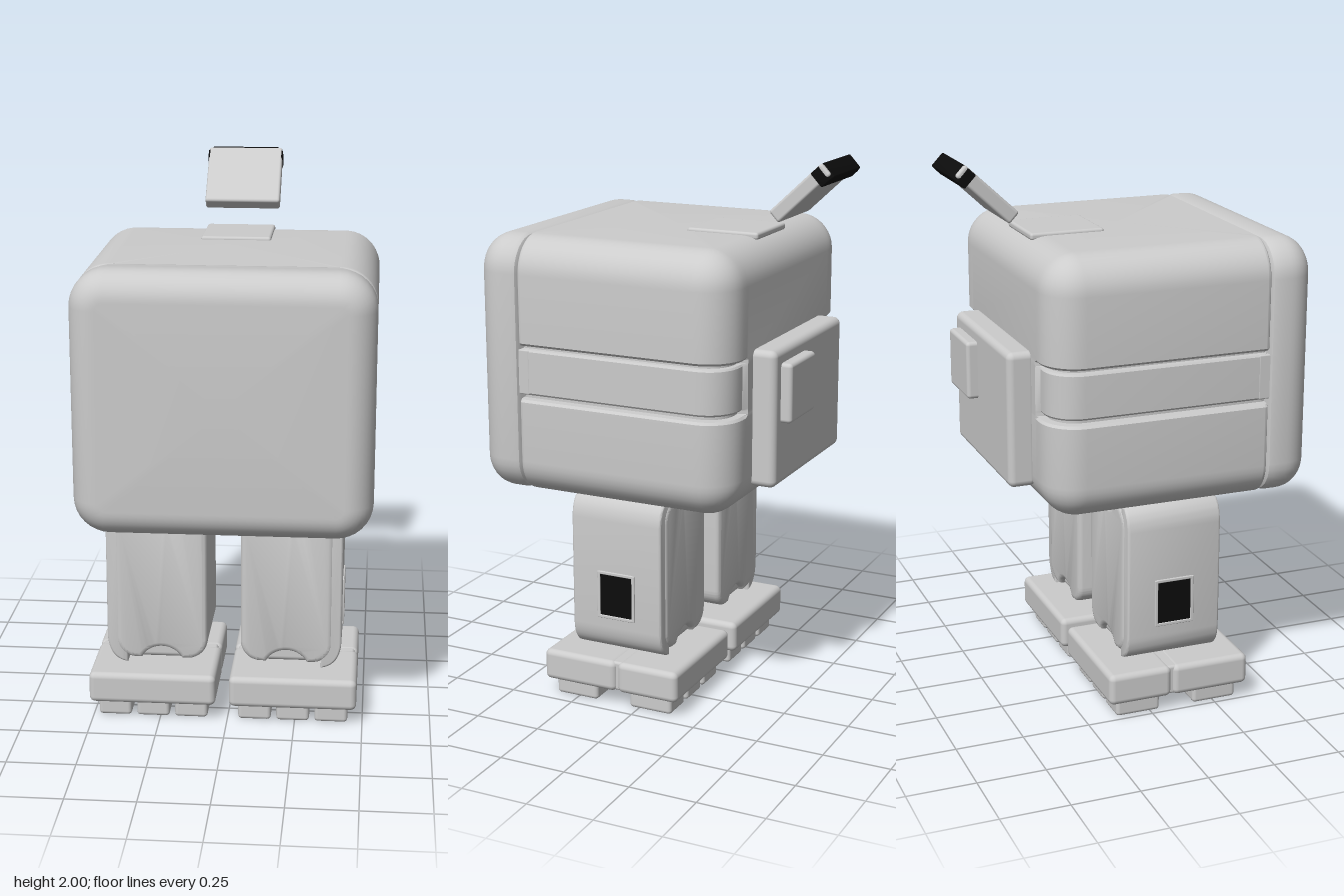
import * as THREE from 'three';
import { toCreasedNormals } from 'three/addons/utils/BufferGeometryUtils.js';
import { RoundedBoxGeometry } from 'three/addons/geometries/RoundedBoxGeometry.js';

const grey = new THREE.MeshStandardMaterial({ color: 0xcccccc });
const black = new THREE.MeshStandardMaterial({ color: 0x0c0c0c });

function add(parent, name, geometry, material = grey) {
  const mesh = new THREE.Mesh(geometry, material);
  mesh.name = name;
  parent.add(mesh);
  return mesh;
}

// Rounded box given by its minimum and maximum on each axis
function box(parent, name, [x0, x1], [y0, y1], [z0, z1], r, material) {
  const mesh = add(parent, name, new RoundedBoxGeometry(x1 - x0, y1 - y0, z1 - z0, 3, r), material);
  mesh.position.set((x0 + x1) / 2, (y0 + y1) / 2, (z0 + z1) / 2);
  return mesh;
}

// Corner points of a rounded rectangle, from angle a over a quarter turn
function corner(cx, cy, r, a) {
  return Array.from({ length: 9 }, (_, i) => {
    const t = a + (i / 8) * Math.PI / 2;
    return [cx + r * Math.cos(t), cy + r * Math.sin(t)];
  });
}

// Skin over equal-length counter-clockwise rings stacked along z, capped at both ends
function loft(rings) {
  const n = rings[0].points.length, pos = [], idx = [];
  for (const { z, points } of rings) for (const [x, y] of points) pos.push(x, y, z);
  for (let i = 0; i < rings.length - 1; i++) for (let j = 0; j < n; j++) {
    const a = i * n + j, b = i * n + (j + 1) % n;
    idx.push(a, b, b + n, a, b + n, a + n);
  }
  for (const k of [0, rings.length - 1]) {
    const c = pos.length / 3, p = rings[k].points;
    pos.push(0, p.reduce((s, q) => s + q[1], 0) / n, rings[k].z);
    for (let j = 0; j < n; j++) {
      const a = k * n + j, b = k * n + (j + 1) % n;
      if (k) idx.push(c, a, b); else idx.push(c, b, a);
    }
  }
  const g = new THREE.BufferGeometry();
  g.setAttribute('position', new THREE.Float32BufferAttribute(pos, 3));
  g.setIndex(idx);
  return g;
}

// Quarter-round profile of radius r: pairs of [height above the end, inset]
const round = r => Array.from({ length: 11 }, (_, i) => {
  const t = (i / 10) * Math.PI / 2;
  return [r * (1 - Math.cos(t)), r * (1 - Math.sin(t))];
});

const HW = 0.525, Y0 = 0.79, Y1 = 1.73, R = 0.13;

// Rear body: plan outlines stacked upward, with a recessed band round sides and back corners
function bodyGeometry() {
  const ends = round(R);
  const band = [[1.14, 0], [1.149, 0.008], [1.151, 0.035], [1.163, 0.035], [1.165, 0.02], [1.172, 0.015]];
  const profile = [
    ...ends.map(([h, d]) => [Y0 + h, d, 0]),
    ...band.map(([y, g]) => [y, 0, g]),
    ...band.map(([y, g]) => [2.495 - y, 0, g]).reverse(),
    ...ends.map(([h, d]) => [Y1 - h, d, 0]).reverse(),
  ];
  const front = -0.425, back = 0.39;
  const rings = profile.map(([z, d, groove]) => {
    const inset = d + groove, r = Math.max(R - inset, 0.002), f = 0.015;
    const w = HW - inset, b = back - inset, gx = Math.min(0.37, w - r - 0.004);
    return { z, points: [
      ...corner(w - r, b - r, r, 0),
      [gx, b], [gx - 0.015, back - d], [0.015 - gx, back - d], [-gx, b],
      ...corner(r - w, b - r, r, Math.PI / 2),
      ...corner(f - w, front + f, f, Math.PI),
      ...corner(w - f, front + f, f, 1.5 * Math.PI),
    ] };
  });
  return toCreasedNormals(loft(rings).rotateX(-Math.PI / 2), 0.6);
}

// Front slab: rounded rectangles stacked forward
function slabGeometry() {
  const profile = [[0.428, 0.02], [0.436, 0.006], [0.45, 0],
    ...round(0.1).map(([h, d]) => [0.6 - h, d]).reverse()];
  const rings = profile.map(([z, d]) => {
    const r = R - d, w = HW - R, t = Y1 - R, b = Y0 + R;
    return { z, points: [
      ...corner(w, t, r, 0), ...corner(-w, t, r, Math.PI / 2),
      ...corner(-w, b, r, Math.PI), ...corner(w, b, r, 1.5 * Math.PI),
    ] };
  });
  return toCreasedNormals(loft(rings), 0.6);
}

// Shape extruded from z0 to z1 with softened edges
function extrude(shape, z0, z1, bevel) {
  const g = new THREE.ExtrudeGeometry(shape, {
    depth: z1 - z0 - 2 * bevel, bevelThickness: bevel, bevelSize: bevel, bevelOffset: -bevel,
    bevelSegments: 3, curveSegments: 10,
  });
  return toCreasedNormals(g.translate(0, 0, z0 + bevel), 0.6);
}

// One leg with its foot; s = 1 for the left, -1 for the right
function leg(s) {
  const g = new THREE.Group();
  g.name = s > 0 ? 'leftLeg' : 'rightLeg';
  g.position.x = -0.0175;
  const span = (a, b) => (s > 0 ? [a, b] : [-b, -a]);

  // Padded block with round notches at top and bottom
  const cx = s * 0.232, hw = 0.17, r = 0.075, top = 0.78, low = 0.21, n = 0.085;
  const a = Math.asin(0.04 / n);
  const pad = new THREE.Shape();
  pad.absarc(cx + hw - r, low + r, r, -Math.PI / 2, 0);
  pad.absarc(cx + hw - r, top - r, r, 0, Math.PI / 2);
  pad.absarc(cx, top + 0.04, n, -a, a - Math.PI, true);
  pad.absarc(cx - hw + r, top - r, r, Math.PI / 2, Math.PI);
  pad.absarc(cx - hw + r, low + r, r, Math.PI, 1.5 * Math.PI);
  pad.absarc(cx, low - 0.04, n, Math.PI - a, a, true);
  add(g, 'legPad', extrude(pad, -0.085, 0.285, 0.018));
  box(g, 'legCore', [cx - 0.11, cx + 0.11], [0.205, 0.79], [-0.06, 0.26], 0.02);

  // Outer side plate with curved ends
  const plate = new THREE.Shape();
  plate.moveTo(s * 0.36, 0.19);
  plate.quadraticCurveTo(s * 0.43, 0.2, s * 0.435, 0.29);
  plate.lineTo(s * 0.435, 0.7);
  plate.quadraticCurveTo(s * 0.43, 0.785, s * 0.36, 0.795);
  add(g, 'legSidePlate', extrude(plate, -0.08, 0.28, 0.008));

  // Dark side window in a thin frame
  box(g, 'legWindow', span(0.42, 0.438), [0.335, 0.495], [0.035, 0.165], 0.002, black);
  for (const z of [0.03, 0.17]) box(g, 'windowFrame', span(0.42, 0.441), [0.325, 0.505], [z - 0.006, z + 0.006], 0.003);
  for (const y of [0.33, 0.5]) box(g, 'windowFrame', span(0.42, 0.441), [y - 0.006, y + 0.006], [0.03, 0.17], 0.003);

  // Foot in two halves joined by a core, with two rows of sole pads
  box(g, 'footFront', span(0.025, 0.495), [0.062, 0.18], [0.078, 0.375], 0.022);
  box(g, 'footBack', span(0.025, 0.495), [0.062, 0.18], [-0.17, 0.072], 0.022);
  box(g, 'footCore', span(0.04, 0.482), [0.066, 0.178], [0, 0.15], 0.01);
  for (const z of [0.255, -0.048]) for (const dx of [-0.142, 0, 0.142]) {
    const x = s * 0.26 + dx;
    box(g, 'solePad', [x - 0.061, x + 0.061], [0, 0.09], [z - 0.085, z + 0.085], 0.014);
  }
  return g;
}

export function createModel() {
  const model = new THREE.Group();
  model.name = 'robot';

  // Body
  add(model, 'body', bodyGeometry());
  add(model, 'frontSlab', slabGeometry());
  box(model, 'bandBridge', [-0.511, 0.511], [1.166, 1.329], [0.39, 0.47], 0.005);

  // Back plate, its small raised cover, and the top hatch
  box(model, 'backPlate', [-0.315, 0.315], [0.875, 1.37], [-0.475, -0.37], 0.025);
  box(model, 'backCover', [0.04, 0.265], [1.105, 1.32], [-0.515, -0.455], 0.014);
  box(model, 'topHatch', [-0.128, 0.128], [1.715, 1.741], [-0.322, -0.047], 0.01);

  // Tilted floating flap with a dark end cap
  const flap = new THREE.Group();
  flap.name = 'flap';
  flap.position.set(-0.002, 1.822, -0.366);
  flap.rotation.x = -0.82;
  box(flap, 'flapPlate', [-0.142, 0.142], [0, 0.262], [-0.053, 0], 0.01);
  const cap = new THREE.Shape();
  const c = 0.02, w = 0.144;
  cap.moveTo(-w, 0.21);
  cap.lineTo(w, 0.21);
  cap.lineTo(w, 0.265 - c);
  cap.lineTo(w - c, 0.265);
  cap.lineTo(c - w, 0.265);
  cap.lineTo(-w, 0.265 - c);
  add(flap, 'flapCap', extrude(cap, -0.064, -0.002, 0.004), black);
  model.add(flap);

  // Legs
  model.add(leg(1), leg(-1));
  return model;
}
